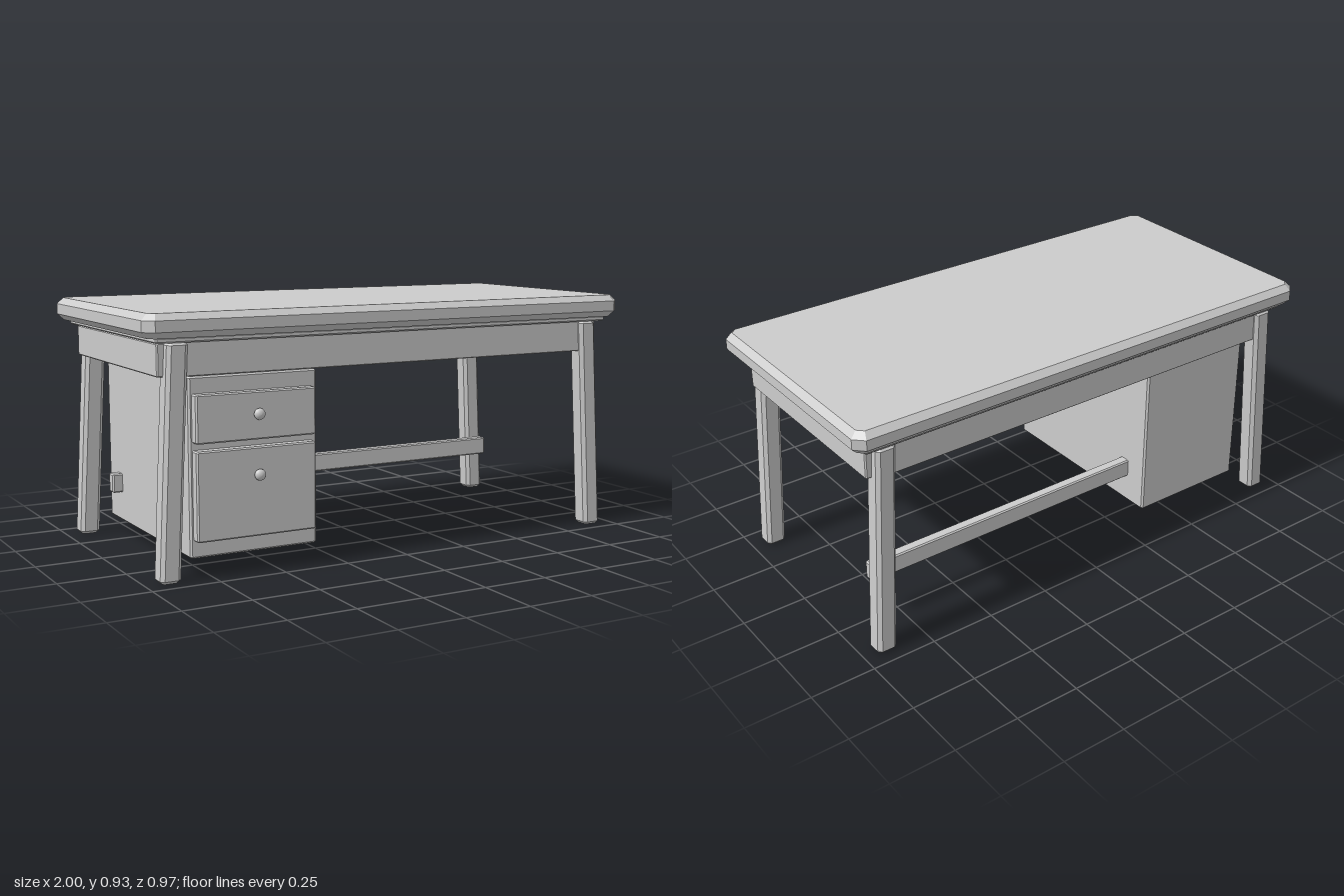
import * as THREE from 'three';

const grey = new THREE.MeshStandardMaterial({ color: 0xcccccc });
grey.name = 'light grey';

// Box standing on y = 0 with every edge chamfered by c; cut sets the clipping of the upright corners
function chamferBox(w, h, d, c, cut = c * 0.6) {
  const x = w / 2 - c, z = d / 2 - c;
  const shape = new THREE.Shape([
    [x - cut, -z], [x, -z + cut], [x, z - cut], [x - cut, z],
    [-x + cut, z], [-x, z - cut], [-x, -z + cut], [-x + cut, -z],
  ].map(([a, b]) => new THREE.Vector2(a, b)));
  const geo = new THREE.ExtrudeGeometry(shape, {
    depth: h - 2 * c, bevelEnabled: true, bevelThickness: c, bevelSize: c, bevelSegments: 1,
  });
  return geo.translate(0, 0, c).rotateX(-Math.PI / 2);
}

export function createModel() {
  const desk = new THREE.Group();
  desk.name = 'desk';

  const add = (name, geo, x = 0, y = 0, z = 0) => {
    const mesh = new THREE.Mesh(geo, grey);
    mesh.name = name;
    mesh.position.set(x, y, z);
    desk.add(mesh);
    return mesh;
  };
  // Chamfered box given by its limits on each axis
  const block = (name, [x0, x1], [y0, y1], [z0, z1], c) =>
    add(name, chamferBox(x1 - x0, y1 - y0, z1 - z0, c), (x0 + x1) / 2, y0, (z0 + z1) / 2);

  // Table top and the spacer beneath it
  add('tableTop', chamferBox(2, 0.085, 0.966, 0.023, 0.022), 0, 0.84, 0);
  block('spacer', [-0.95, 0.95], [0.822, 0.842], [-0.445, 0.445], 0.005);

  // Aprons: long ones between the legs, short ones outside them
  for (const s of [-1, 1]) {
    const apronZ = s * 0.413, apronX = s * 0.917;
    block(s > 0 ? 'frontApron' : 'backApron', [-0.9, 0.9], [0.705, 0.825],
      [apronZ - 0.015, apronZ + 0.015], 0.003);
    block(s > 0 ? 'leftApron' : 'rightApron', [apronX - 0.016, apronX + 0.016], [0.705, 0.82],
      [-0.408, 0.408], 0.004);
  }

  // Splayed legs
  for (const sx of [-1, 1]) {
    for (const sz of [-1, 1]) {
      const geo = chamferBox(0.076, 0.825, 0.075, 0.011);
      const p = geo.attributes.position;
      for (let i = 0; i < p.count; i++) {
        const t = 1 - p.getY(i) / 0.825;
        p.setX(i, p.getX(i) + sx * 0.044 * t);
        p.setZ(i, p.getZ(i) + sz * 0.009 * t);
      }
      geo.computeVertexNormals();
      add((sz > 0 ? 'front' : 'back') + (sx > 0 ? 'Left' : 'Right') + 'Leg', geo, sx * 0.868, 0, sz * 0.407);
    }
  }

  // Stretcher running through the drawer cabinet
  block('stretcher', [-0.866, 0.866], [0.183, 0.256], [-0.284, -0.241], 0.005);

  // Drawer cabinet
  block('cabinet', [-0.827, -0.335], [0.07, 0.703], [-0.378, 0.42], 0.006);

  // Drawer fronts with round knobs
  const knobProfile = [[0, -0.004], [0.008, -0.004], [0.008, 0.002], [0.015, 0.003], [0.019, 0.007],
    [0.0205, 0.012], [0.019, 0.019], [0.014, 0.025], [0.007, 0.028], [0, 0.029]]
    .map(([r, y]) => new THREE.Vector2(r, y));
  const knobGeo = new THREE.LatheGeometry(knobProfile, 24).rotateX(Math.PI / 2);
  for (const [name, y0, y1, knobY] of [['upper', 0.474, 0.644, 0.565], ['lower', 0.132, 0.449, 0.352]]) {
    block(name + 'Drawer', [-0.815, -0.356], [y0, y1], [0.412, 0.457], 0.005);
    add(name + 'Knob', knobGeo, -0.583, knobY, 0.457);
  }

  return desk;
}
